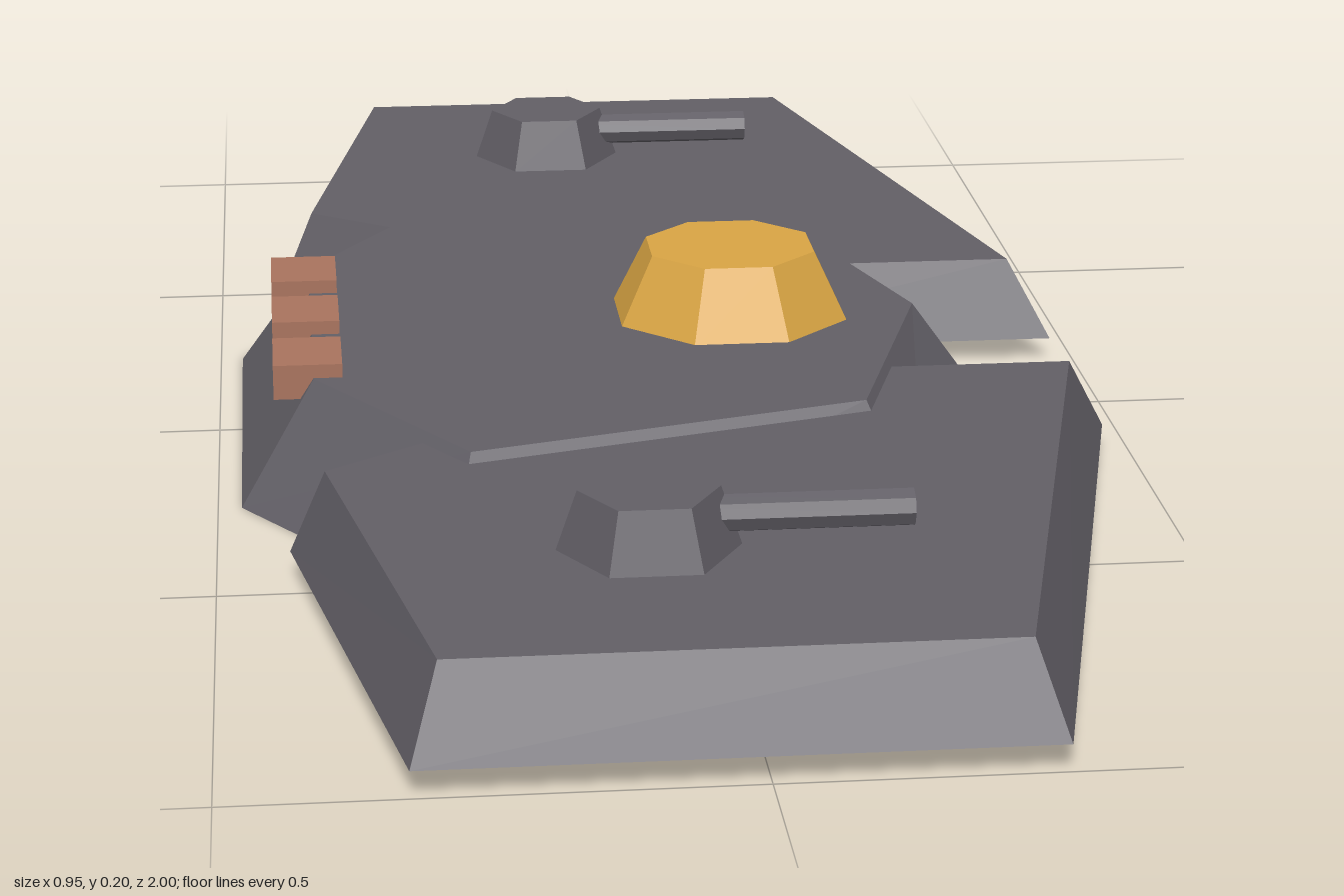
import * as THREE from 'three';

const mat = (name, color) => {
  const m = new THREE.MeshStandardMaterial({ color });
  m.name = name;
  return m;
};

// Solid between two matching convex outlines of [x, z] points, with flat faces
function bevelledSlab(lower, y0, upper, y1) {
  const n = lower.length;
  let area = 0;
  lower.forEach(([x, z], i) => {
    const [x2, z2] = lower[(i + 1) % n];
    area += z * x2 - z2 * x;
  });
  const order = (pts, y) => {
    const v = pts.map(([x, z]) => [x, y, z]);
    return area < 0 ? v.reverse() : v;
  };
  const b = order(lower, y0), t = order(upper, y1);
  const pos = [];
  const tri = (...corners) => corners.forEach((c) => pos.push(...c));
  for (let i = 0; i < n; i++) {
    const j = (i + 1) % n;
    tri(b[i], b[j], t[j]);
    tri(b[i], t[j], t[i]);
    if (i > 0 && i < n - 1) {
      tri(t[0], t[i], t[j]);
      tri(b[0], b[j], b[i]);
    }
  }
  const g = new THREE.BufferGeometry();
  g.setAttribute('position', new THREE.Float32BufferAttribute(pos, 3));
  g.computeVertexNormals();
  return g;
}

export function createModel() {
  const model = new THREE.Group();
  const grey = mat('hull grey', 0x625f66);
  const gold = mat('dome gold', 0xdaa544);
  const copper = mat('engine copper', 0xa9745e);
  grey.flatShading = gold.flatShading = true;

  const add = (name, geometry, material, x = 0, y = 0, z = 0) => {
    const mesh = new THREE.Mesh(geometry, material);
    mesh.name = name;
    mesh.position.set(x, y, z);
    model.add(mesh);
    return mesh;
  };

  // Central hull, symmetric in z with its nose at +x
  const mirrored = (half, nose) => [nose, ...half, ...half.map(([x, z]) => [x, -z]).reverse()];
  add('hull', bevelledSlab(
    mirrored([[0.235, 0.4], [-0.272, 0.55], [-0.475, 0.25]], [0.372, 0]), 0,
    mirrored([[0.182, 0.325], [-0.24, 0.445], [-0.395, 0.2]], [0.282, 0]), 0.125), grey);

  // Wings with a gun turret on each
  const wingLower = [[-0.325, 1], [0.272, 1], [0.472, 0.153], [-0.02, 0.153], [-0.425, 0.452]];
  const wingUpper = [[-0.297, 0.957], [0.243, 0.957], [0.425, 0.19], [-0.02, 0.19], [-0.388, 0.46]];
  for (const s of [1, -1]) {
    const side = s > 0 ? 'front' : 'back';
    const flip = (pts) => pts.map(([x, z]) => [x, z * s]);
    add(side + 'Wing', bevelledSlab(flip(wingLower), 0.027, flip(wingUpper), 0.115), grey);
    add(side + 'Turret', new THREE.CylinderGeometry(0.069, 0.09, 0.061, 6, 1, false, Math.PI / 2),
      grey, -0.083, 0.1445, s * 0.7);
    const barrel = add(side + 'Barrel', new THREE.CylinderGeometry(0.019, 0.019, 0.25, 8),
      grey, 0.047, 0.147, s * 0.7);
    barrel.rotation.z = -Math.PI / 2;
  }

  // Command dome
  add('dome', new THREE.CylinderGeometry(0.098, 0.138, 0.08, 8, 1, false, Math.PI / 8),
    gold, 0.074, 0.161, 0);

  // Row of engine blocks along the stern
  for (const z of [-0.15, 0, 0.15]) {
    add('engine', new THREE.BoxGeometry(0.074, 0.038, 0.095), copper, -0.401, 0.121, z);
  }
  return model;
}
